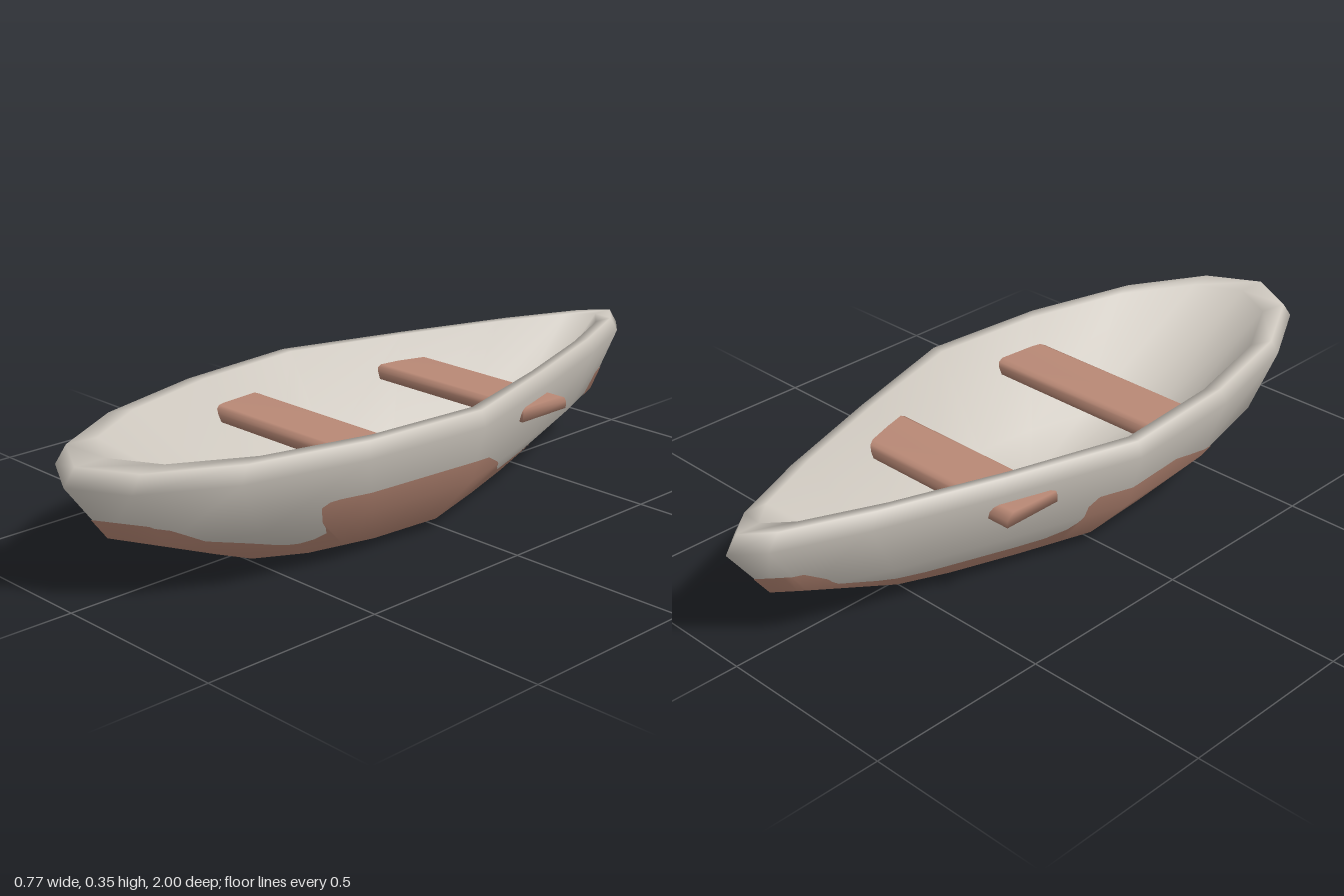
import * as THREE from 'three';
import { mergeVertices } from 'three/addons/utils/BufferGeometryUtils.js';

const hullPaint = new THREE.MeshStandardMaterial({ color: 0xccc6bd });
hullPaint.name = 'warm grey';
const wood = new THREE.MeshStandardMaterial({ color: 0xb88875 });
wood.name = 'reddish brown';

// half outline of the hull at its widest level, from the blunt front to the sharp end: [x, z]
const half = [[0, 1], [0.147, 0.92], [0.272, 0.7], [0.355, 0.37], [0.385, 0],
  [0.272, -0.37], [0.16, -0.7], [0.063, -0.926], [0, -1]];
const outline = [...half, ...half.slice(1, -1).reverse().map(([x, z]) => [-x, z])];
const N = outline.length;

// levels: outside from keel to rim, then inside down to the floor:
// [outline scale, y, scale of the sharp half if different]
const levels = [[0, 0], [0.56, 0.02], [0.885, 0.157], [1, 0.311], [0.967, 0.354],
  [0.88, 0.354, 0.9], [0.51, 0.1, 0.6], [0, 0.075]];

// top edge of the bottom paint on each side: [z on the outline, height]
const edgeLeft = [[1, 0.215], [0.925, 0.215], [0.89, 0.2], [0.82, 0.15], [0.72, 0.09], [0.66, 0.078],
  [0.6, 0.083], [0.54, 0.1], [0.525, 0.13], [0.515, 0.2], [0.49, 0.212], [0.46, 0.215], [0, 0.215],
  [-0.08, 0.2], [-0.25, 0.12], [-0.36, 0.085], [-0.43, 0.08], [-0.8, 0.08], [-0.83, 0.1],
  [-0.84, 0.15], [-0.86, 0.18], [-0.875, 0.21], [-0.9, 0.215], [-1, 0.215]];
const edgeRight = [[1, 0.215], [0.885, 0.215], [0.84, 0.195], [0.81, 0.1], [0.775, 0.08], [0.65, 0.08],
  [0.47, 0.15], [0.28, 0.195], [0.2, 0.215], [-0.1, 0.215], [-0.13, 0.19], [-0.145, 0.13],
  [-0.17, 0.1], [-0.25, 0.08], [-0.8, 0.08], [-0.83, 0.1], [-0.86, 0.18], [-0.9, 0.215], [-1, 0.215]];

// joins rows of points into a skin; closed skins wrap around
function skin(positions, rows, cols, closed) {
  const index = [];
  for (let r = 0; r < rows - 1; r++) {
    for (let c = 0; c < (closed ? cols : cols - 1); c++) {
      const d = (c + 1) % cols;
      const a = r * cols + c, b = r * cols + d;
      index.push(a, b, b + cols, a, b + cols, a + cols);
    }
  }
  const g = new THREE.BufferGeometry();
  g.setAttribute('position', new THREE.Float32BufferAttribute(positions, 3));
  g.setIndex(index);
  g.computeVertexNormals();
  return g;
}

function hullGeometry() {
  const p = [];
  for (const [front, y, back = front] of levels) {
    for (const [x, z] of outline) {
      const s = z < 0 ? back : front;
      p.push(x * s, y, z * s);
    }
  }
  return skin(p, levels.length, N, true);
}

// fractional column of an outline z, and fractional row of a height on the outside
function columnOf(z) {
  for (let i = 0; i < half.length - 1; i++) {
    if (z >= half[i + 1][1]) return i + (half[i][1] - z) / (half[i][1] - half[i + 1][1]);
  }
  return half.length - 1;
}
function rowOf(y) {
  let i = 0;
  while (y > levels[i + 1][1]) i++;
  return i + (y - levels[i][1]) / (levels[i + 1][1] - levels[i][1]);
}

// blends an attribute of the hull skin at a fractional row and column
function sample(attribute, row, col) {
  const r = Math.floor(row), c = Math.floor(col);
  const at = (i, j) => new THREE.Vector3().fromBufferAttribute(attribute, i * N + j % N);
  const low = at(r, c).lerp(at(r, c + 1), col - c);
  const high = at(r + 1, c).lerp(at(r + 1, c + 1), col - c);
  return low.lerp(high, row - r);
}

// thin coat of paint following the hull up to a wavy edge
function paintGeometry(hull) {
  const edge = [...edgeLeft.map(([z, y]) => [columnOf(z), y]),
    ...edgeRight.map(([z, y]) => [N - columnOf(z), y]).reverse()];
  const stations = [];
  for (let i = 0; i < edge.length - 1; i++) {
    const [c0, y0] = edge[i], [c1, y1] = edge[i + 1];
    if (c1 - c0 < 1e-6) continue;
    const cuts = new Set([0, 1, 2, 3, 4, 5].map(k => c0 + (c1 - c0) * k / 6));
    for (let c = Math.ceil(c0); c < c1; c++) cuts.add(c);
    for (const c of [...cuts].sort((a, b) => a - b)) {
      stations.push([c, rowOf(y0 + (y1 - y0) * (c - c0) / (c1 - c0))]);
    }
  }
  stations.push([N, rowOf(0.215)]);
  const p = [], n = [];
  const rows = [() => 0, () => 1, top => Math.min(2, top), top => top];
  for (const row of rows) {
    for (const [col, top] of stations) {
      const normal = sample(hull.attributes.normal, row(top), col).normalize();
      const point = sample(hull.attributes.position, row(top), col).addScaledVector(normal, 0.002);
      p.push(point.x, Math.max(0, point.y), point.z);
      n.push(normal.x, normal.y, normal.z);
    }
  }
  const g = skin(p, rows.length, stations.length, false);
  g.setAttribute('normal', new THREE.Float32BufferAttribute(n, 3));
  return g;
}

// softly rounded plank running across the hull
function benchGeometry() {
  const s = new THREE.Shape([[-0.087, 0.251], [0.087, 0.251], [0.087, 0.27], [0.08, 0.282],
    [0.066, 0.288], [-0.07, 0.288], [-0.083, 0.282], [-0.087, 0.27]].map(([x, y]) => new THREE.Vector2(x, y)));
  const g = new THREE.ExtrudeGeometry(s, { depth: 0.62, bevelEnabled: false });
  g.deleteAttribute('normal');
  g.deleteAttribute('uv');
  const smooth = mergeVertices(g.translate(0, 0, -0.31).rotateY(Math.PI / 2));
  smooth.computeVertexNormals();
  return smooth;
}

export function createModel() {
  const boat = new THREE.Group();
  boat.name = 'rowingBoat';
  const add = (name, geometry, material) => {
    const m = new THREE.Mesh(geometry, material);
    m.name = name;
    boat.add(m);
    return m;
  };
  const hull = hullGeometry();
  add('hull', hull, hullPaint);
  add('bottomPaint', paintGeometry(hull), wood);
  add('frontBench', benchGeometry(), wood).position.z = 0.245;
  add('rearBench', benchGeometry(), wood).position.z = -0.314;
  return boat;
}
